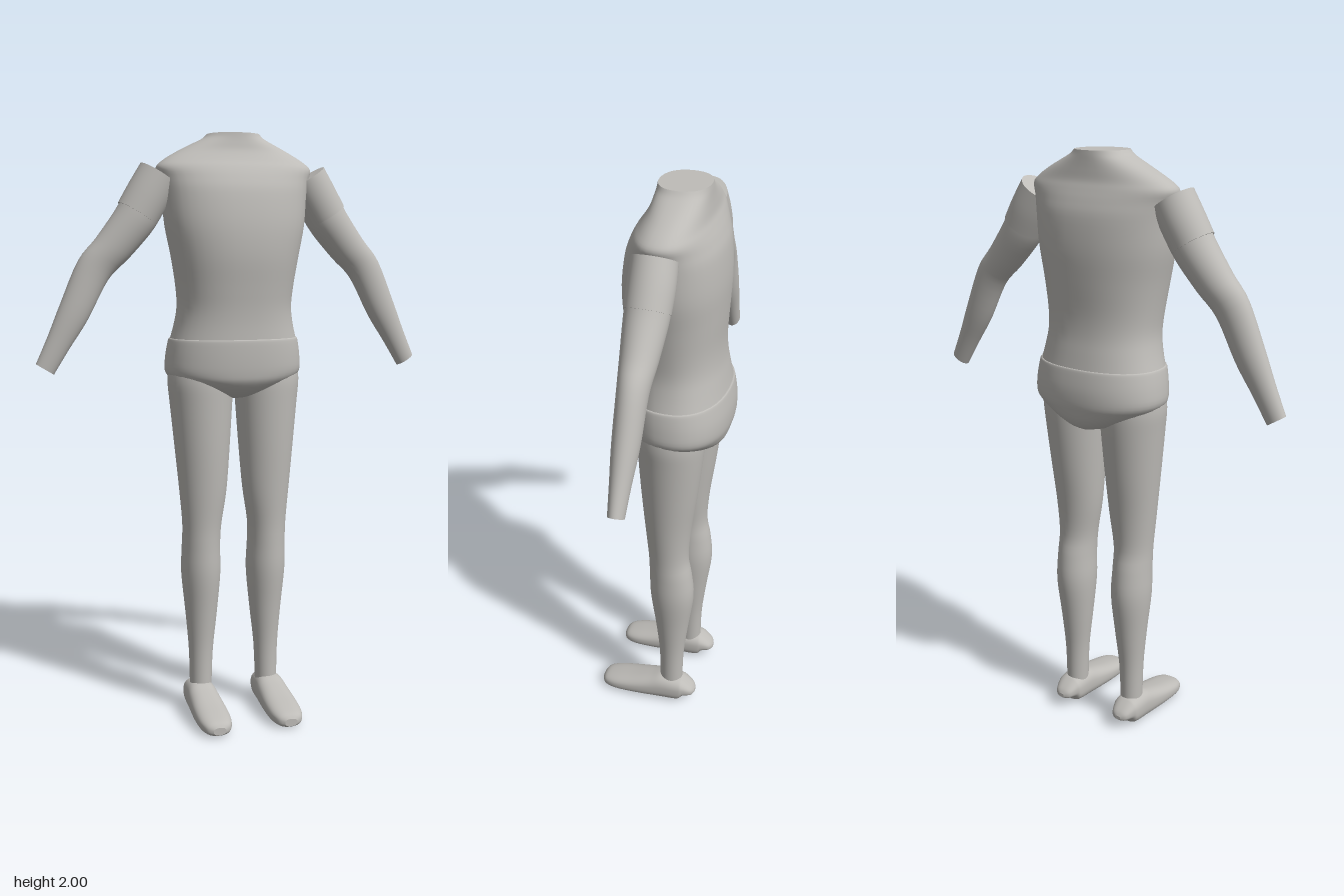
import * as THREE from 'three';

const clay = new THREE.MeshStandardMaterial({ color: 0xbebcb8 });
clay.name = 'warm grey';

// Smoothly interpolates between cross-section rows
function refine(rows, steps = 4) {
  const out = [];
  for (let i = 0; i < rows.length - 1; i++) {
    const a = rows[Math.max(i - 1, 0)], b = rows[i], c = rows[i + 1], d = rows[Math.min(i + 2, rows.length - 1)];
    for (let k = 0; k < steps; k++) {
      const t = k / steps;
      out.push(b.map((_, j) => b[j] + 0.5 * t * (c[j] - a[j]
        + t * (2 * a[j] - 5 * b[j] + 4 * c[j] - d[j] + t * (3 * (b[j] - c[j]) + d[j] - a[j])))));
    }
  }
  out.push(rows[rows.length - 1]);
  return out;
}

// Closed skin through rounded cross-sections; place(row, u, v) puts a unit-circle point in space
function loft(name, rows, place, power = 2, n = 40) {
  const fine = refine(rows), pos = [], idx = [];
  const round = (q) => Math.sign(q) * Math.pow(Math.abs(q), 2 / power);
  const ring = (row) => {
    for (let j = 0; j < n; j++) {
      const a = (j / n) * Math.PI * 2;
      pos.push(...place(row, round(Math.cos(a)), round(Math.sin(a))));
    }
  };
  fine.forEach(ring);
  for (let i = 0; i < fine.length - 1; i++) {
    for (let j = 0; j < n; j++) {
      const a = i * n + j, b = i * n + (j + 1) % n;
      idx.push(a, b, a + n, b, b + n, a + n);
    }
  }
  // End caps with their own vertices keep the rims sharp
  [fine[0], fine[fine.length - 1]].forEach((row, e) => {
    const start = pos.length / 3;
    ring(row);
    pos.push(...place(row, 0, 0));
    for (let j = 0; j < n; j++) {
      const a = start + j, b = start + (j + 1) % n;
      idx.push(start + n, e ? a : b, e ? b : a);
    }
  });
  // Turn the skin outward if its signed volume is negative
  let volume = 0;
  const p = (i) => new THREE.Vector3().fromArray(pos, i * 3);
  for (let i = 0; i < idx.length; i += 3) volume += p(idx[i]).dot(p(idx[i + 1]).cross(p(idx[i + 2])));
  if (volume < 0) idx.reverse();
  const g = new THREE.BufferGeometry();
  g.setAttribute('position', new THREE.Float32BufferAttribute(pos, 3));
  g.setIndex(idx);
  g.computeVertexNormals();
  const mesh = new THREE.Mesh(g, clay);
  mesh.name = name;
  return mesh;
}

// Horizontal section: y, half width, front z, back z
const level = ([y, w, f, b], u, v) => [u * w, y, (f + b) / 2 + v * (f - b) / 2];

export function createModel() {
  const model = new THREE.Group();
  model.name = 'bodyForm';

  model.add(loft('torso', [
    [2.0, 0.088, 0.03, -0.13], [1.985, 0.105, 0.032, -0.132], [1.965, 0.145, 0.036, -0.134],
    [1.94, 0.195, 0.043, -0.137], [1.91, 0.245, 0.06, -0.142], [1.885, 0.267, 0.078, -0.152],
    [1.85, 0.257, 0.097, -0.166], [1.8, 0.248, 0.115, -0.18], [1.7, 0.238, 0.13, -0.188],
    [1.6, 0.218, 0.13, -0.185], [1.5, 0.202, 0.117, -0.18], [1.43, 0.197, 0.108, -0.183],
    [1.37, 0.206, 0.104, -0.193], [1.31, 0.222, 0.104, -0.204],
  ], level, 2.25));

  model.add(loft('hips', [
    [1.325, 0.22, 0.106, -0.204], [1.315, 0.225, 0.109, -0.208], [1.26, 0.234, 0.108, -0.216],
    [1.21, 0.234, 0.104, -0.216], [1.18, 0.205, 0.096, -0.21], [1.15, 0.15, 0.07, -0.2],
    [1.125, 0.09, 0.02, -0.182], [1.112, 0.03, -0.06, -0.16],
  ], level, 2.25));

  for (const s of [1, -1]) {
    const side = s > 0 ? 'left' : 'right';

    // Arm sections lie square to the sloping arm: x, y, z, radius across, radius in depth
    const across = ([x, y, z, r, d], u, v) => [s * (x + u * r * 0.85), y + u * r * 0.53, z + v * d];
    model.add(loft(side + 'Sleeve', [
      [0.256, 1.862, -0.038, 0.072, 0.069], [0.295, 1.797, -0.04, 0.073, 0.071],
      [0.332, 1.735, -0.04, 0.072, 0.069],
    ], across));
    model.add(loft(side + 'Arm', [
      [0.315, 1.763, -0.04, 0.07, 0.067], [0.345, 1.712, -0.04, 0.069, 0.066],
      [0.415, 1.625, -0.042, 0.063, 0.056], [0.48, 1.553, -0.044, 0.058, 0.046],
      [0.545, 1.42, -0.044, 0.052, 0.041], [0.598, 1.32, -0.044, 0.041, 0.032],
      [0.645, 1.232, -0.045, 0.034, 0.025],
    ], across));

    // Leg sections: y, inner x, outer x, front z, back z
    model.add(loft(side + 'Leg', [
      [1.24, 0.003, 0.226, 0.06, -0.15], [1.18, 0.004, 0.231, 0.068, -0.155],
      [1.1, 0.01, 0.224, 0.066, -0.15], [0.95, 0.02, 0.21, 0.058, -0.133],
      [0.8, 0.032, 0.196, 0.046, -0.113], [0.68, 0.05, 0.186, 0.035, -0.105],
      [0.6, 0.053, 0.186, 0.032, -0.118], [0.5, 0.051, 0.187, 0.029, -0.126],
      [0.36, 0.063, 0.174, 0.011, -0.108], [0.22, 0.078, 0.163, -0.003, -0.092],
      [0.07, 0.084, 0.16, -0.005, -0.088],
    ], ([y, i, o, f, b], u, v) => [s * ((i + o) / 2 + u * (o - i) / 2), y, (f + b) / 2 + v * (f - b) / 2]));

    // Foot sections: z, bottom y, top y, half width
    model.add(loft(side + 'Foot', [
      [-0.141, 0.042, 0.056, 0.01], [-0.13, 0.035, 0.072, 0.03], [-0.1, 0.027, 0.095, 0.044],
      [-0.08, 0.006, 0.104, 0.049], [-0.02, 0.001, 0.11, 0.053], [0.03, 0.0, 0.096, 0.056],
      [0.1, 0.0, 0.077, 0.059], [0.165, 0.0, 0.062, 0.056], [0.205, 0.003, 0.05, 0.043],
      [0.22, 0.01, 0.036, 0.022],
    ], ([z, b, t, w], u, v) => [s * (0.127 + u * w), (b + t) / 2 + v * (t - b) / 2, z], 2.5));
  }
  return model;
}
